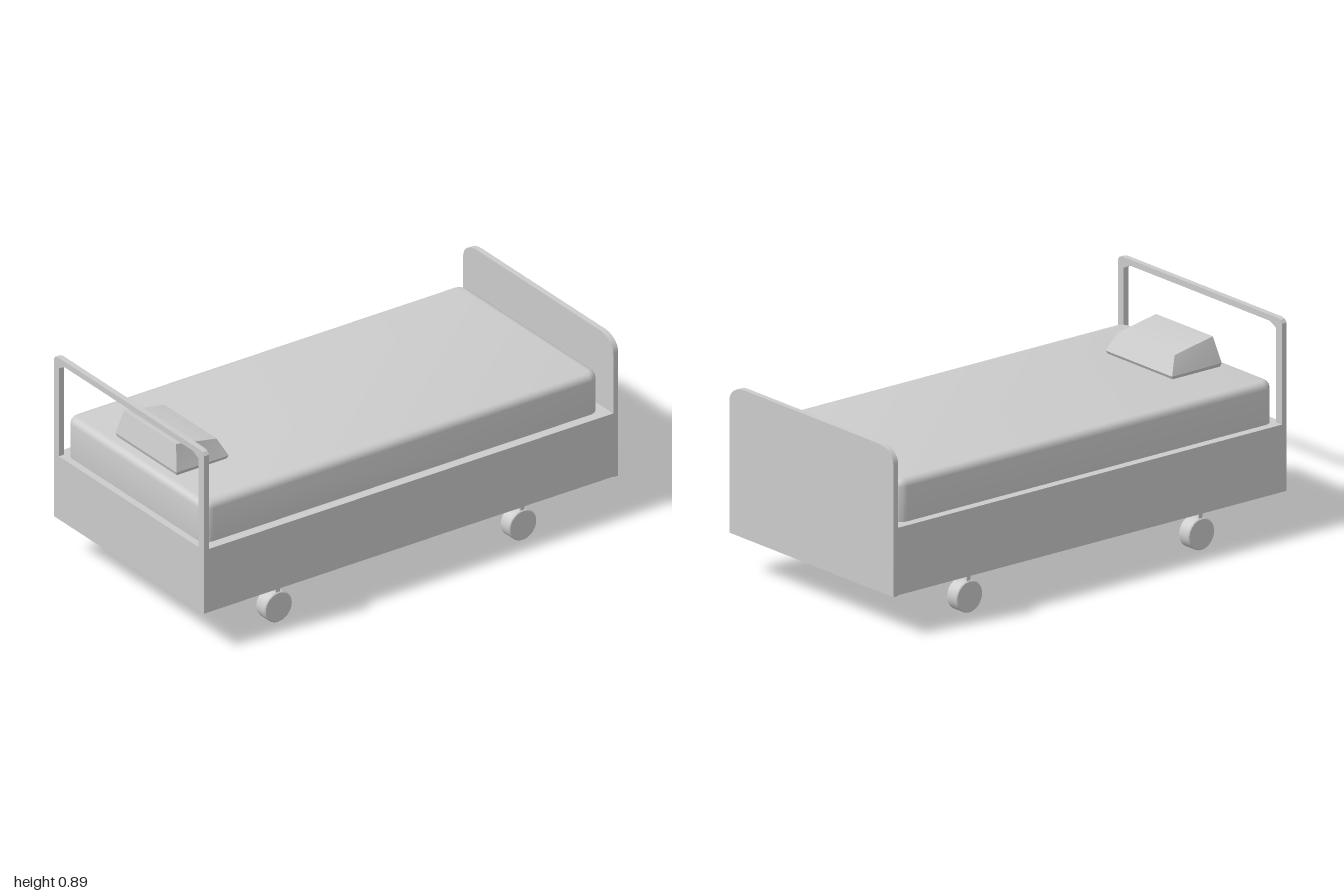
import * as THREE from 'three';
import { toCreasedNormals } from 'three/addons/utils/BufferGeometryUtils.js';

const material = new THREE.MeshStandardMaterial({ color: 0xcccccc });

function add(parent, name, geometry, x = 0, y = 0, z = 0) {
  const mesh = new THREE.Mesh(geometry, material);
  mesh.name = name;
  mesh.position.set(x, y, z);
  parent.add(mesh);
  return mesh;
}

const polygon = (points) => points.map(([x, y]) => new THREE.Vector2(x, y));

// Extrude an outline drawn in (z, y) along x, from x0 to x1
function panelAlongX(shape, x0, x1) {
  const geometry = new THREE.ExtrudeGeometry(shape, { depth: x1 - x0, bevelEnabled: false, curveSegments: 8 });
  geometry.rotateY(Math.PI / 2);
  geometry.translate(x0, 0, 0);
  return toCreasedNormals(geometry, 0.5);
}

// Rounded rectangle block with a softened upper edge
function mattressGeometry(width, depth, height, radius, bevel) {
  const w = width / 2 - bevel, d = depth / 2 - bevel, r = radius;
  const s = new THREE.Shape();
  s.moveTo(-w + r, -d);
  s.lineTo(w - r, -d);
  s.absarc(w - r, -d + r, r, -Math.PI / 2, 0);
  s.absarc(w - r, d - r, r, 0, Math.PI / 2);
  s.absarc(-w + r, d - r, r, Math.PI / 2, Math.PI);
  s.absarc(-w + r, -d + r, r, Math.PI, Math.PI * 1.5);
  const geometry = new THREE.ExtrudeGeometry(s, {
    depth: height - 2 * bevel, bevelThickness: bevel, bevelSize: bevel, bevelSegments: 4, curveSegments: 5,
  });
  geometry.rotateX(-Math.PI / 2);
  geometry.translate(0, bevel, 0);
  return toCreasedNormals(geometry, 0.6);
}

// Wedge-shaped pillow: a rim band below a sloping, inset top
function pillowGeometry() {
  const rings = [
    [-0.91, -0.67, 0.63, 0.63, 0.2],
    [-0.915, -0.663, 0.645, 0.643, 0.205],
    [-0.895, -0.7, 0.752, 0.717, 0.175],
    [-0.885, -0.708, 0.753, 0.719, 0.168],
  ];
  const positions = [], index = [];
  for (const [x0, x1, y0, y1, z] of rings) {
    positions.push(x0, y0, z, x1, y1, z, x1, y1, -z, x0, y0, -z);
  }
  for (let i = 0; i < rings.length - 1; i++) {
    for (let j = 0; j < 4; j++) {
      const a = i * 4 + j, b = i * 4 + (j + 1) % 4;
      index.push(a, b, b + 4, a, b + 4, a + 4);
    }
  }
  const t = (rings.length - 1) * 4;
  index.push(t, t + 1, t + 2, t, t + 2, t + 3, 0, 2, 1, 0, 3, 2);
  const geometry = new THREE.BufferGeometry();
  geometry.setAttribute('position', new THREE.Float32BufferAttribute(positions, 3));
  geometry.setIndex(index);
  return toCreasedNormals(geometry, 0.4);
}

// Swivel caster: mounting plate, outer stem and wheel
function caster(x, z, side) {
  const group = new THREE.Group();
  group.name = 'caster';
  group.position.set(x, 0, z);
  add(group, 'casterPlate', new THREE.BoxGeometry(0.11, 0.022, 0.055), 0, 0.168, 0);
  add(group, 'casterStem', new THREE.BoxGeometry(0.018, 0.09, 0.011), 0, 0.12, side * 0.021);
  const profile = polygon([[0, -0.032], [0.062, -0.032], [0.066, -0.028], [0.066, 0.028], [0.062, 0.032], [0, 0.032]]);
  const wheel = toCreasedNormals(new THREE.LatheGeometry(profile, 32).rotateX(Math.PI / 2), 0.5);
  add(group, 'casterWheel', wheel, 0, 0.067, 0);
  return group;
}

export function createModel() {
  const bed = new THREE.Group();
  bed.name = 'bed';
  const half = 0.505;

  // Frame box
  add(bed, 'frame', new THREE.BoxGeometry(1.985, 0.28, 2 * half), -0.0075, 0.315, 0);

  // Mattress, its lower edge sunk into the frame
  add(bed, 'mattress', mattressGeometry(1.915, 0.93, 0.23, 0.02, 0.03), -0.0125, 0.4, -0.003);

  // Pillow
  add(bed, 'pillow', pillowGeometry(), 0, 0, -0.003);

  // Footboard with rounded upper corners
  const foot = new THREE.Shape();
  foot.moveTo(-half, 0.172);
  foot.lineTo(half, 0.172);
  foot.lineTo(half, 0.72);
  foot.bezierCurveTo(half, 0.758, 0.465, 0.786, 0.415, 0.786);
  foot.lineTo(-0.415, 0.786);
  foot.bezierCurveTo(-0.465, 0.786, -half, 0.758, -half, 0.72);
  add(bed, 'footboard', panelAlongX(foot, 0.976, 1));

  // Head rail: one hoop with chamfered corners
  const hoop = new THREE.Shape(polygon([
    [-half, 0.45], [-0.47, 0.45], [-0.47, 0.847], [-0.43, 0.866],
    [0.43, 0.866], [0.47, 0.847], [0.47, 0.45], [half, 0.45],
    [half, 0.873], [0.495, 0.886], [0.478, 0.891],
    [-0.478, 0.891], [-0.495, 0.886], [-half, 0.873],
  ]));
  add(bed, 'headRail', panelAlongX(hoop, -1, -0.976));

  // Four casters
  for (const x of [-0.61, 0.57]) {
    bed.add(caster(x, 0.433, 1), caster(x, -0.423, -1));
  }
  return bed;
}
